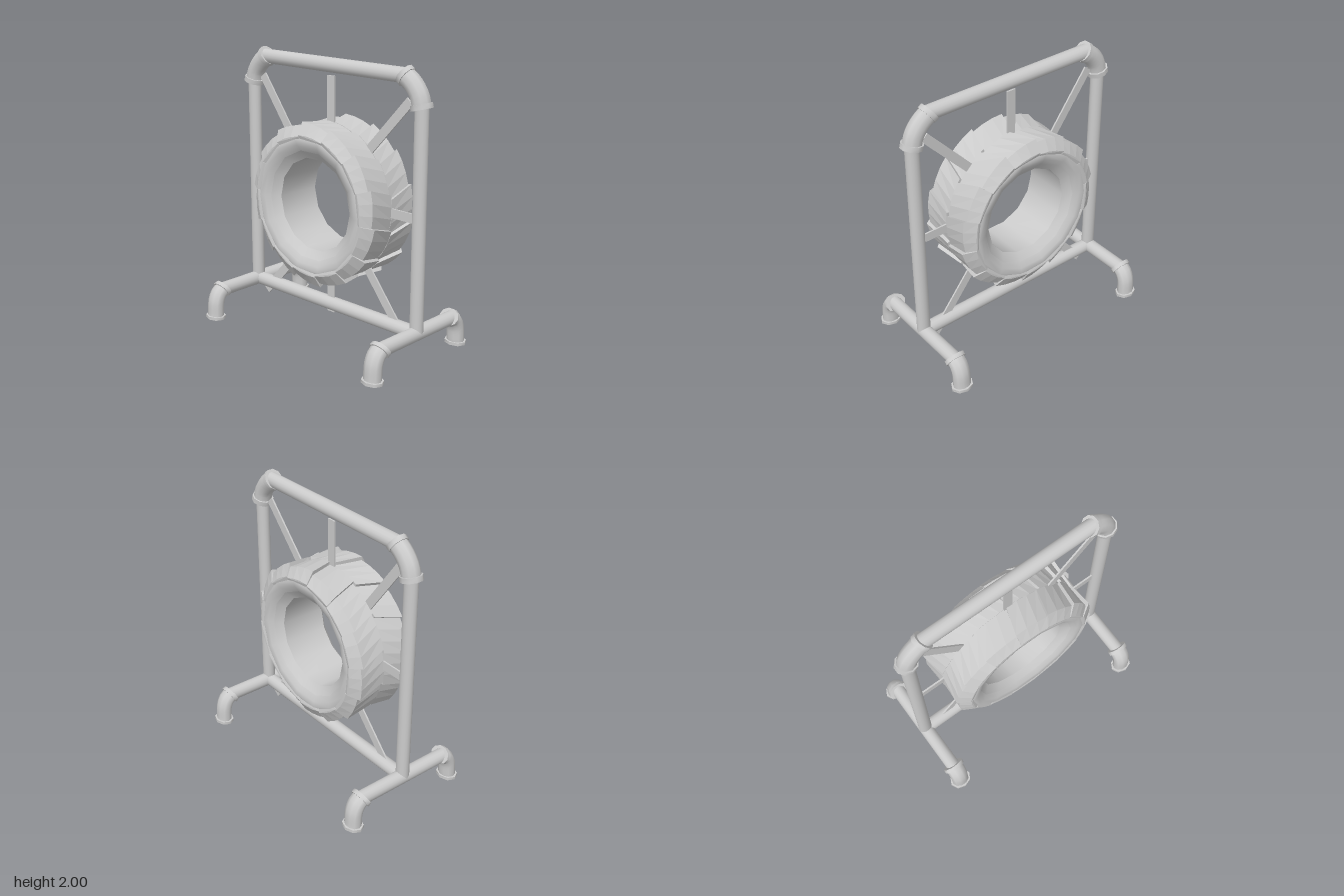
import * as THREE from 'three';
import { toCreasedNormals } from 'three/addons/utils/BufferGeometryUtils.js';

const smooth = new THREE.MeshStandardMaterial({ color: 0xcccccc, side: THREE.DoubleSide });
const faceted = new THREE.MeshStandardMaterial({ color: 0xcccccc, flatShading: true });
const POST_Z = 0.785, BAR_Y = 0.205, TYRE_Y = 0.98;
const v = (x, y, z = 0) => new THREE.Vector3(x, y, z);

function add(parent, name, geometry, material = smooth) {
  const mesh = new THREE.Mesh(geometry, material);
  mesh.name = name;
  parent.add(mesh);
  return mesh;
}

// Cylinder between two points, turned to lie along them
function rod(parent, name, a, b, r, sides = 16) {
  const geo = toCreasedNormals(new THREE.CylinderGeometry(r, r, a.distanceTo(b), sides), 0.9);
  const mesh = add(parent, name, geo);
  mesh.position.copy(a).lerp(b, 0.5);
  mesh.quaternion.setFromUnitVectors(v(0, 1, 0), b.clone().sub(a).normalize());
  return mesh;
}

// Bent pipe fitting in the local XY plane, with a collar at each end
function elbow(name, points, r, collars, depthScale) {
  const group = new THREE.Group();
  group.name = name;
  const curve = new THREE.CatmullRomCurve3(points);
  add(group, 'elbowBend', new THREE.TubeGeometry(curve, 8, r, 10));
  collars.forEach(([t, radius, h]) => {
    const p = curve.getPointAt(t), d = curve.getTangentAt(t).multiplyScalar(h / 2);
    rod(group, 'elbowCollar', p.clone().sub(d), p.clone().add(d), radius, 10);
  });
  group.scale.z = depthScale;
  return group;
}

// One sawtooth tread block: cross-sections lofted from the centre line to the shoulder
function lugGeometry(side, angle, span) {
  // x, base radius, rise at the leading edge, skew angle, root x, root radius
  const stations = [
    [0, 0.545, 0.022, 0, 0, 0.49],
    [0.2, 0.556, 0.028, 0.115, 0.2, 0.49],
    [0.25, 0.49, 0.01, 0.125, 0.235, 0.455],
  ];
  const steps = 3, n = steps + 3, pos = [], index = [];
  const put = (x, r, a) => pos.push(side * x, r * Math.sin(a), r * Math.cos(a));
  for (const [x, r, rise, skew, rootX, rootR] of stations) {
    const end = angle + skew;
    for (let i = 0; i <= steps; i++) put(x, r + rise * i / steps, end - span * (1 - i / steps));
    put(rootX, rootR, end);
    put(rootX, rootR, end - span);
  }
  const tri = (a, b, c) => (side > 0 ? index.push(a, b, c) : index.push(a, c, b));
  for (let s = 0; s < stations.length - 1; s++) {
    for (let i = 0; i < n; i++) {
      const a = s * n + i, b = s * n + (i + 1) % n;
      tri(a, a + n, b + n);
      tri(a, b + n, b);
    }
  }
  const last = (stations.length - 1) * n;
  for (let i = 1; i < n - 1; i++) {
    tri(0, i, i + 1);
    tri(last, last + i + 1, last + i);
  }
  const geo = new THREE.BufferGeometry();
  geo.setAttribute('position', new THREE.Float32BufferAttribute(pos, 3));
  geo.setIndex(index);
  const flat = geo.toNonIndexed();
  flat.computeVertexNormals();
  return flat;
}

function createTyre() {
  const tyre = new THREE.Group();
  tyre.name = 'tyre';
  const count = 14, span = Math.PI * 2 / count;

  // Carcass with rounded sidewalls
  const half = [[0.39, 0.215], [0.43, 0.24], [0.47, 0.247], [0.5, 0.235], [0.545, 0.19]];
  const wall = [...half.map(([r, x]) => [r, -x]), ...half.slice().reverse()];
  const lathe = (pts) => new THREE.LatheGeometry(pts.map(([r, x]) => new THREE.Vector2(r, x)), count);
  add(tyre, 'tyreCarcass', lathe(wall)).rotation.z = Math.PI / 2;

  // Straight bore with bevelled mouths
  const bore = [[0.39, 0.215], [0.332, 0.17], [0.332, -0.17], [0.39, -0.215]];
  add(tyre, 'tyreBore', toCreasedNormals(lathe(bore), 0.5)).rotation.z = Math.PI / 2;

  // Chevron tread, the two halves slightly out of step
  for (const side of [1, -1]) {
    const phase = (side > 0 ? 18 : 21) * Math.PI / 180 - 0.115;
    for (let i = 0; i < count; i++) {
      add(tyre, 'treadBlock', lugGeometry(side, phase + i * span, span), faceted);
    }
  }
  tyre.position.set(0, TYRE_Y, -0.005);
  return tyre;
}

// Flat strap between two points given as z, y
function strap(parent, [z0, y0], [z1, y1]) {
  const dz = z1 - z0, dy = y1 - y0;
  const mesh = add(parent, 'strap', new THREE.BoxGeometry(0.012, 0.065, Math.hypot(dz, dy)));
  mesh.position.set(0, (y0 + y1) / 2, (z0 + z1) / 2);
  mesh.rotation.x = -Math.atan2(dy, dz);
}

export function createModel() {
  const model = new THREE.Group();
  model.name = 'tyreFrame';

  // Long rails
  rod(model, 'topRail', v(0, 1.932, -0.67), v(0, 1.932, 0.67), 0.052);
  rod(model, 'bottomRail', v(0, BAR_Y, -POST_Z), v(0, BAR_Y, POST_Z), 0.05);

  for (const end of [1, -1]) {
    const z = end * POST_Z;
    rod(model, 'post', v(0, BAR_Y, z), v(0, 1.76, z), 0.05).scale.x = 0.88;
    rod(model, 'footBar', v(-0.38, BAR_Y, z), v(0.38, BAR_Y, z), 0.051);

    // Corner fitting between post and top rail
    const corner = elbow('cornerElbow',
      [v(0.785, 1.74), v(0.763, 1.815), v(0.715, 1.88), v(0.642, 1.935)],
      0.068, [[0.03, 0.08, 0.035], [0.97, 0.076, 0.035]], 0.92);
    corner.rotation.y = -end * Math.PI / 2;
    model.add(corner);

    // Feet bending down from the bar ends, with floor flanges
    for (const side of [1, -1]) {
      const foot = elbow('footElbow',
        [v(0.36, 0.216), v(0.405, 0.185), v(0.432, 0.13), v(0.441, 0.02)],
        0.054, [[0.05, 0.064, 0.03]], 1.24);
      rod(foot, 'footFlange', v(0.441, 0), v(0.441, 0.022), 0.067, 8);
      foot.position.z = z;
      if (side < 0) foot.rotation.y = Math.PI;
      model.add(foot);
    }
  }

  // Straps from the frame into the tyre
  const straps = [
    [[-0.007, 1.86], [-0.007, 1.45]], [[-0.007, 0.14], [-0.007, 0.5]],
    [[0.74, 1], [0.5, 1]], [[-0.74, 1], [-0.5, 1]],
    [[0.69, 1.77], [0.32, 1.37]], [[-0.69, 1.79], [-0.36, 1.34]],
    [[0.69, 0.115], [0.33, 0.57]], [[-0.69, 0.13], [-0.3, 0.55]],
  ];
  straps.forEach(([a, b]) => strap(model, a, b));

  model.add(createTyre());
  return model;
}
